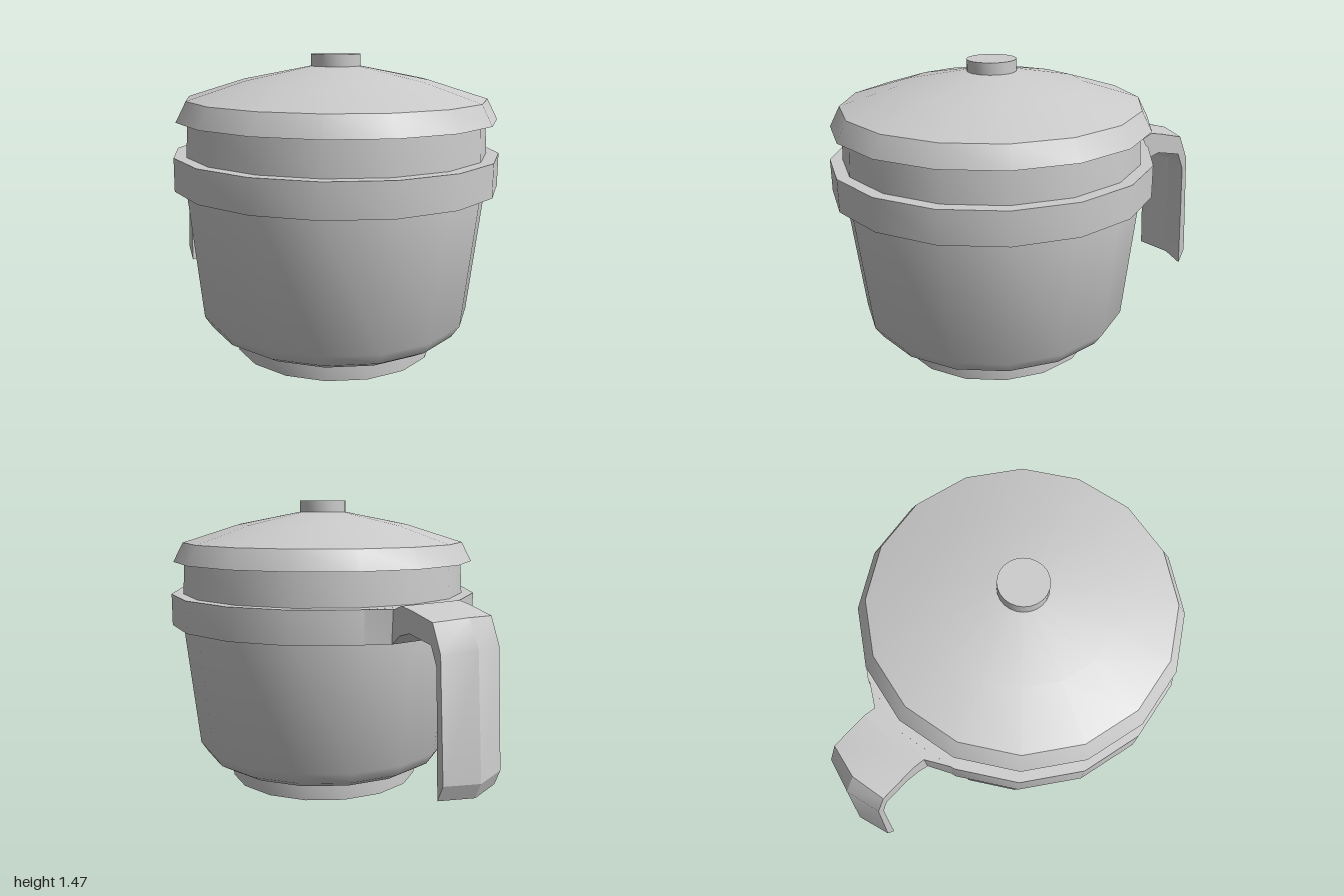
import * as THREE from 'three';
import { toCreasedNormals } from 'three/addons/utils/BufferGeometryUtils.js';

const SIDES = 16;
const POT_Z = 0.2;

export function createModel() {
  const model = new THREE.Group();
  model.name = 'lidded pot';
  const material = new THREE.MeshStandardMaterial({ color: 0xcccccc });

  const add = (name, geometry, crease = 0.7) => {
    const mesh = new THREE.Mesh(toCreasedNormals(geometry, crease), material);
    mesh.name = name;
    model.add(mesh);
    return mesh;
  };

  // Round parts: profile of [radius, y] from bottom to top
  const turn = (name, profile, sides = SIDES) => {
    const points = profile.map(([r, y]) => new THREE.Vector2(r, y));
    add(name, new THREE.LatheGeometry(points, sides)).position.z = POT_Z;
  };

  turn('foot', [[0, 0], [0.5, 0], [0.5, 0.08], [0, 0.08]]);
  turn('potBody', [
    [0, 0.08], [0.5, 0.08], [0.57, 0.1], [0.63, 0.135], [0.67, 0.195],
    [0.74, 0.835], [0.735, 0.995], [0.725, 1.17], [0, 1.17],
  ]);
  turn('band', [[0.72, 0.835], [0.795, 0.835], [0.795, 0.995], [0.72, 0.995]]);
  turn('lid', [
    [0, 1.16], [0.78, 1.16], [0.73, 1.257], [0.45, 1.345], [0.12, 1.41], [0, 1.41],
  ]);
  turn('knob', [[0, 1.4], [0.12, 1.4], [0.12, 1.467], [0, 1.467]], 24);

  add('handle', handleGeometry(), 0.4);
  return model;
}

// Handle: six-cornered sections with a raised centre ridge, swept from the band outward and down
function handleGeometry() {
  // half width, outer edge z, y, inner edge z, y, ridge offset z, y
  const sections = [
    [0.3, -0.53, 0.995, -0.53, 0.835, -0.06, 0],
    [0.175, -0.605, 0.993, -0.597, 0.835, 0, 0],
    [0.175, -0.66, 1.015, -0.65, 0.88, 0, 0],
    [0.175, -0.725, 1.003, -0.715, 0.9, -0.01, 0.003],
    [0.175, -0.862, 0.967, -0.855, 0.87, -0.035, 0.01],
    [0.175, -0.915, 0.838, -0.892, 0.78, -0.046, 0.01],
    [0.175, -0.948, 0.275, -0.915, 0.2, -0.052, -0.01],
  ];
  const positions = [];
  const index = [];
  sections.forEach(([w, oz, oy, iz, iy, dz, dy], s) => {
    positions.push(
      w, oy, oz, 0, oy + dy, oz + dz, -w, oy, oz,
      -w, iy, iz, 0, iy + dy, iz + dz, w, iy, iz,
    );
    if (s === 0) return;
    for (let k = 0; k < 6; k++) {
      const a = (s - 1) * 6 + k;
      const b = (s - 1) * 6 + ((k + 1) % 6);
      index.push(a, a + 6, b, b, a + 6, b + 6);
    }
  });
  // Closed tip
  const e = (sections.length - 1) * 6;
  index.push(e, e + 4, e + 1, e, e + 5, e + 4, e + 1, e + 3, e + 2, e + 1, e + 4, e + 3);

  const geometry = new THREE.BufferGeometry();
  geometry.setAttribute('position', new THREE.Float32BufferAttribute(positions, 3));
  geometry.setIndex(index);
  return geometry;
}
